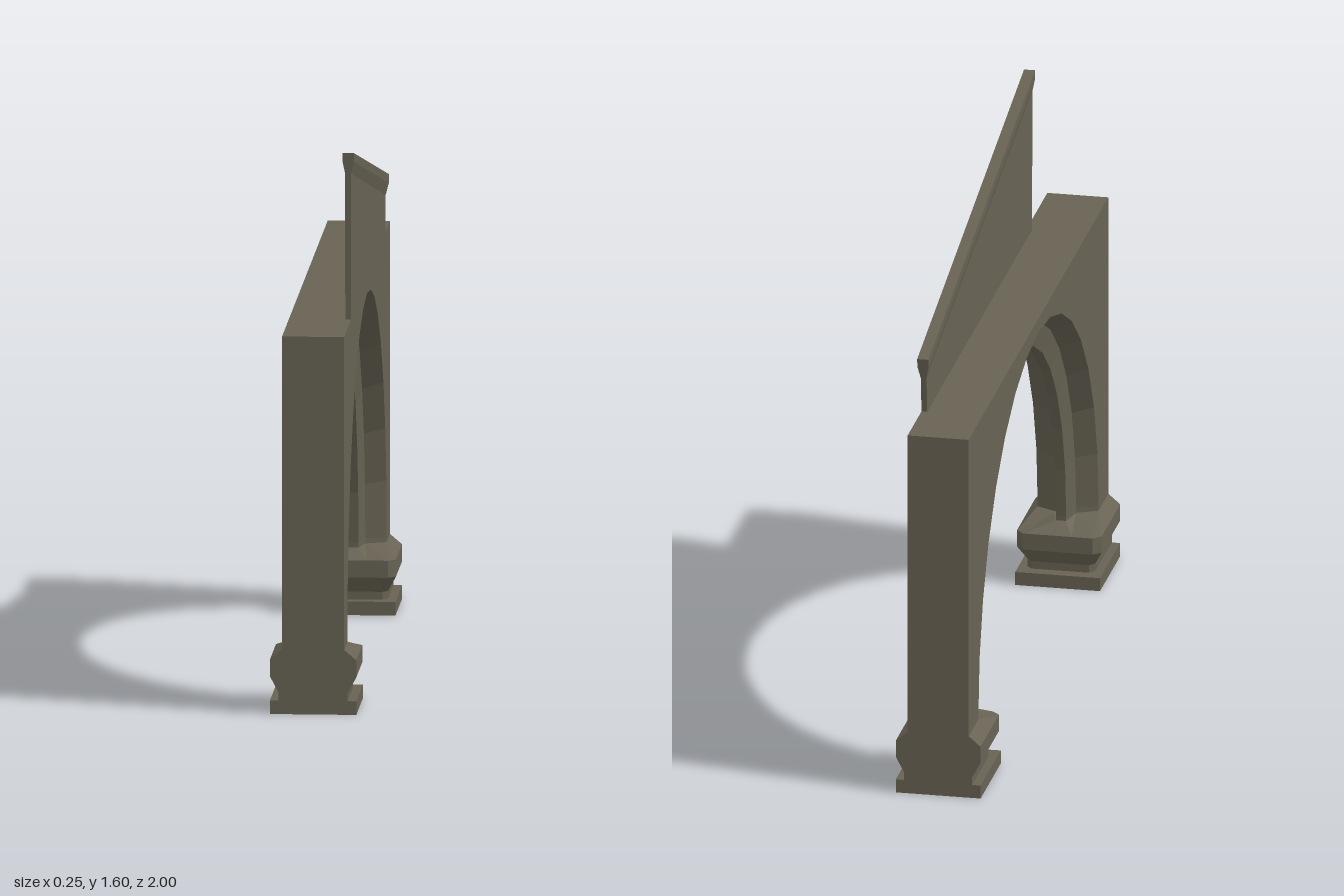
import * as THREE from 'three';

const stone = new THREE.MeshStandardMaterial({ color: 0x676253 });
stone.name = 'stone';
stone.flatShading = true;

// Closed solid through a row of rings with equal point counts, wound outwards
function loft(rings) {
  const pos = [];
  const tri = (a, b, c) => pos.push(...a, ...b, ...c);
  const n = rings[0].length;
  for (let i = 0; i < rings.length - 1; i++) {
    for (let j = 0; j < n; j++) {
      const k = (j + 1) % n, a = rings[i], b = rings[i + 1];
      tri(a[j], b[j], b[k]);
      tri(a[j], b[k], a[k]);
    }
  }
  const last = rings[rings.length - 1];
  for (let j = 1; j < n - 1; j++) {
    tri(rings[0][0], rings[0][j], rings[0][j + 1]);
    tri(last[0], last[j + 1], last[j]);
  }
  // Signed volume tells whether the winding must be reversed
  let volume = 0;
  const [a, b, c] = [new THREE.Vector3(), new THREE.Vector3(), new THREE.Vector3()];
  for (let i = 0; i < pos.length; i += 9) {
    a.fromArray(pos, i); b.fromArray(pos, i + 3); c.fromArray(pos, i + 6);
    volume += a.dot(b.cross(c));
  }
  if (volume < 0) {
    for (let i = 0; i < pos.length; i += 9) {
      for (let k = 0; k < 3; k++) [pos[i + 3 + k], pos[i + 6 + k]] = [pos[i + 6 + k], pos[i + 3 + k]];
    }
  }
  const geo = new THREE.BufferGeometry();
  geo.setAttribute('position', new THREE.Float32BufferAttribute(pos, 3));
  geo.computeVertexNormals();
  return geo;
}

// Outline in (z, y) extruded along x from x0 to x1
function slab(points, x0, x1) {
  const shape = new THREE.Shape(points.map(([z, y]) => new THREE.Vector2(z, y)));
  const geo = new THREE.ExtrudeGeometry(shape, { depth: x1 - x0, bevelEnabled: false });
  return geo.rotateY(-Math.PI / 2).translate(x1, 0, 0);
}

export function createModel() {
  const group = new THREE.Group();
  const add = (name, geo) => {
    const mesh = new THREE.Mesh(geo, stone);
    mesh.name = name;
    group.add(mesh);
    return mesh;
  };

  const HALF = 0.09, SPRING = 0.205, FOOT = 0.19, TOP = 1.107, SEG = 16;

  // Wall with the arched opening
  const outline = [[1, FOOT], [1, TOP], [-1, TOP], [-1, FOOT], [-0.86, FOOT]];
  for (let i = 0; i <= SEG; i++) {
    const t = Math.PI * (1 - i / SEG);
    outline.push([0.86 * Math.cos(t), SPRING + 0.86 * Math.sin(t)]);
  }
  outline.push([0.86, FOOT]);
  add('archWall', slab(outline, -HALF, HALF));

  // Moulded band lining the arch, section in (radius, x)
  const half = [[0.86, HALF], [0.83, 0.03], [0.76, 0.015]];
  const section = [...half, ...half.map(([r, x]) => [r, -x]).reverse()];
  const rings = [section.map(([r, x]) => [x, FOOT - 0.01, r])];
  for (let i = 0; i <= SEG; i++) {
    const t = Math.PI * i / SEG;
    rings.push(section.map(([r, x]) => [x, SPRING + r * Math.sin(t), r * Math.cos(t)]));
  }
  rings.push(section.map(([r, x]) => [x, FOOT - 0.01, -r]));
  add('archMoulding', loft(rings));

  // Moulded feet: each level is a height and half a plan outline in (x, z)
  const level = (y, pts) => {
    const side = [[pts[0][0], 1], ...pts];
    return [...side, ...side.map(([x, z]) => [-x, z]).reverse()].map(([x, z]) => [x, y, z]);
  };
  const neck = [[0.1, 0.765], [0.085, 0.747], [0.04, 0.747]];
  const bulge = [[0.125, 0.735], [0.103, 0.713], [0.04, 0.713]];
  const foot = loft([
    level(0.035, neck), level(0.063, neck), level(0.11, bulge), level(0.16, bulge),
    level(FOOT, [[HALF, 0.86], [0.03, 0.83], [0.015, 0.76]]),
  ]);
  const plinth = new THREE.BoxGeometry(0.25, 0.04, 0.29).translate(0, 0.02, 0.855);
  for (const [end, turn] of [['front', 0], ['back', Math.PI]]) {
    add(end + 'Foot', foot).rotation.y = turn;
    add(end + 'Plinth', plinth).rotation.y = turn;
  }

  // Thin sloping parapet on the left face
  add('parapet', slab([[0.695, 1.09], [0.709, 1.56], [-0.814, 1.235], [-0.8, 1.09]], 0.073, 0.09));

  // Flared coping along the parapet's top, section in (drop, x)
  const coping = [[0.06, 0.073], [0.06, 0.09], [0.025, 0.099], [0, 0.099], [0, 0.066], [0.025, 0.066]];
  add('coping', loft([
    coping.map(([d, x]) => [x, 1.597 - d, 0.71 - d * 0.03]),
    coping.map(([d, x]) => [x, 1.275 - d, -0.82 + d * 0.12]),
  ]));

  return group;
}
